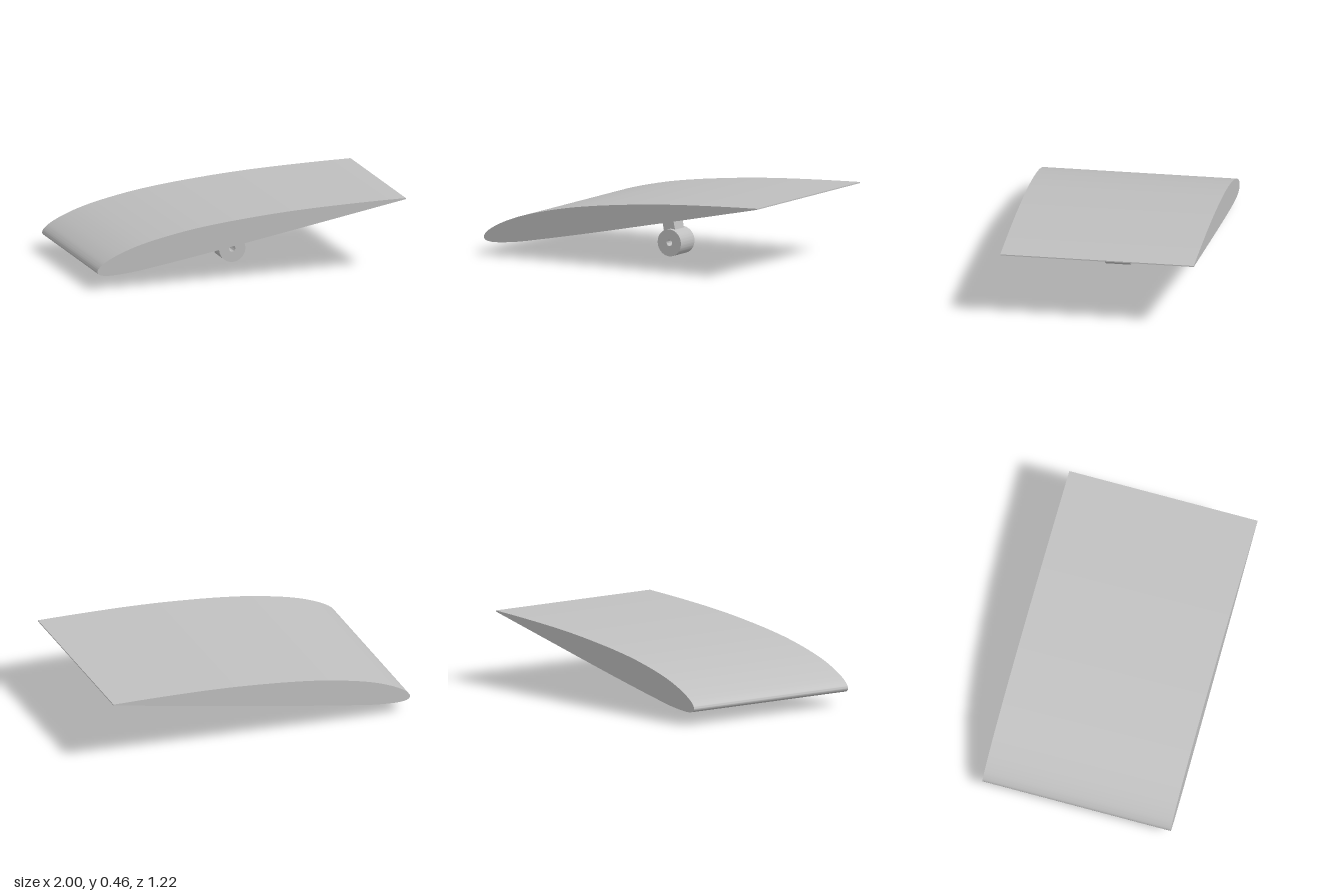
import * as THREE from 'three';
import { toCreasedNormals } from 'three/addons/utils/BufferGeometryUtils.js';

const metal = new THREE.MeshStandardMaterial({ color: 0xbfbfbf });
metal.name = 'plain grey';

// Extrude a front-facing outline from z0 to z1, smooth along its curves
function extrude(name, shape, z0, z1) {
  const geo = new THREE.ExtrudeGeometry(shape, { depth: z1 - z0, bevelEnabled: false, curveSegments: 64 });
  geo.translate(0, 0, z0);
  const mesh = new THREE.Mesh(toCreasedNormals(geo, 0.6), metal);
  mesh.name = name;
  return mesh;
}

export function createModel() {
  const group = new THREE.Group();
  group.name = 'wingSection';

  // Wing: curved upper skin, round nose, almost flat underside
  const outline = [
    [1, 0.457], [0.8, 0.45], [0.6, 0.441], [0.4, 0.43], [0.2, 0.415], [0, 0.395], [-0.2, 0.371],
    [-0.4, 0.34], [-0.6, 0.297], [-0.75, 0.255], [-0.87, 0.208], [-0.95, 0.165], [-0.988, 0.133],
    [-1, 0.108], [-0.985, 0.089], [-0.94, 0.081], [-0.87, 0.084], [-0.75, 0.098], [-0.6, 0.125],
    [-0.4, 0.163], [0, 0.243], [1, 0.45],
  ].map(([x, y]) => new THREE.Vector2(x, y));
  const profile = new THREE.Shape(new THREE.SplineCurve(outline).getPoints(126));
  group.add(extrude('wing', profile, -0.608, 0.608));

  // Pivot sleeve with a through hole
  const cx = 0.03, cy = 0.085;
  const ring = new THREE.Shape().absarc(cx, cy, 0.085, 0, Math.PI * 2);
  ring.holes.push(new THREE.Path().absarc(cx, cy, 0.02, 0, Math.PI * 2, true));
  group.add(extrude('pivotSleeve', ring, -0.08, 0.08));

  // Bracket square to the underside, joining the sleeve to the wing
  const tilt = 0.205, reach = 0.12;
  const bracket = new THREE.Mesh(new THREE.BoxGeometry(0.082, 0.1, 0.106), metal);
  bracket.name = 'bracket';
  bracket.position.set(cx - Math.sin(tilt) * reach, cy + Math.cos(tilt) * reach, 0);
  bracket.rotation.z = tilt;
  group.add(bracket);

  return group;
}
